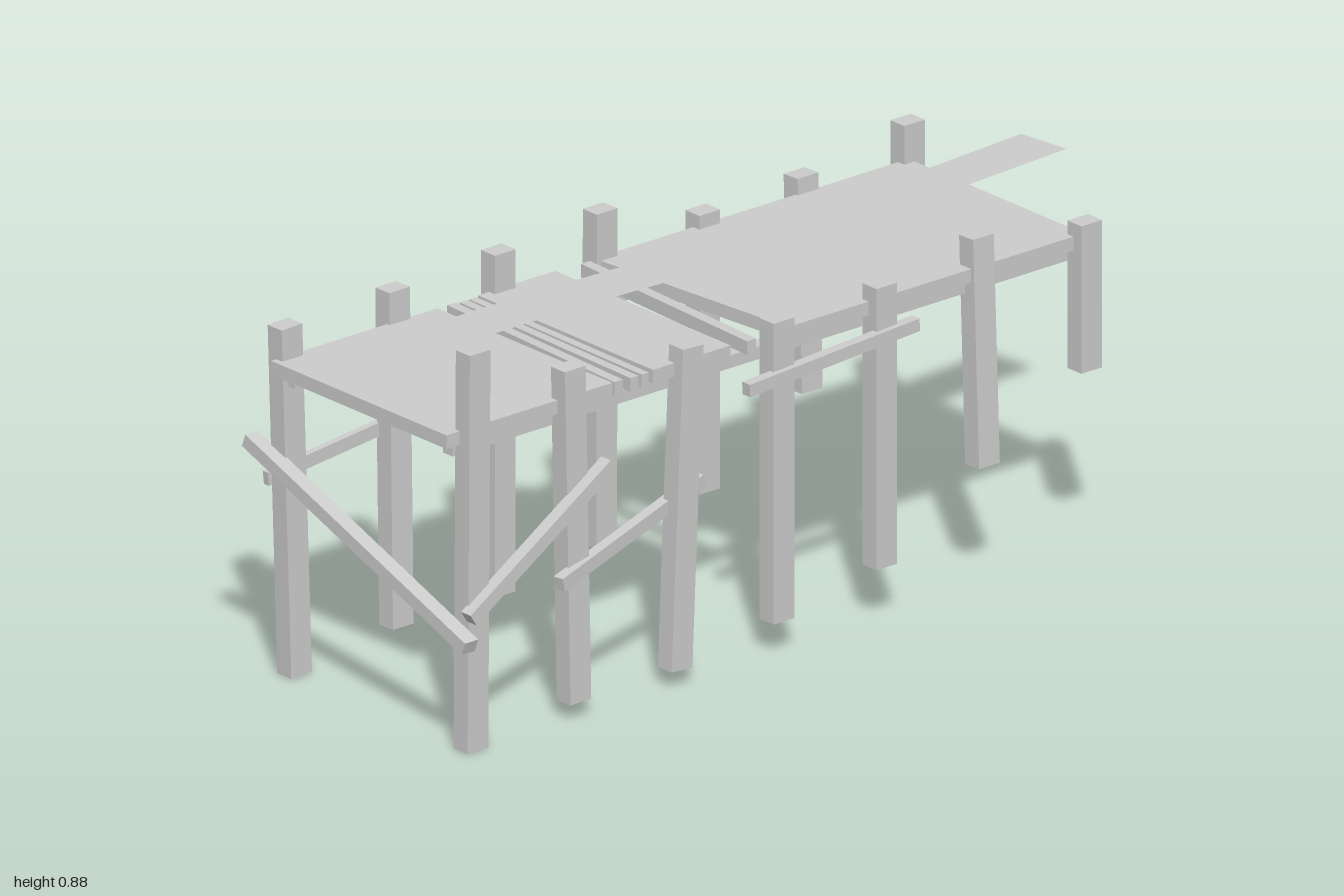
import * as THREE from 'three';

const AXES = [new THREE.Vector3(1, 0, 0), new THREE.Vector3(0, 1, 0), new THREE.Vector3(0, 0, 1)];

export function createModel() {
  const group = new THREE.Group();
  const wood = new THREE.MeshStandardMaterial({ color: 0xcccccc, flatShading: true });
  const thin = new THREE.MeshStandardMaterial({ color: 0xcccccc, flatShading: true, side: THREE.DoubleSide });

  const add = (name, geometry, material = wood) => {
    const mesh = new THREE.Mesh(geometry, material);
    mesh.name = name;
    group.add(mesh);
    return mesh;
  };

  // Square timber from a to b, running mainly along one axis (0 x, 1 y, 2 z)
  const timber = (name, axis, a, b, size) => {
    const start = new THREE.Vector3(...a), end = new THREE.Vector3(...b);
    const dims = [...size];
    dims[axis] = start.distanceTo(end);
    const mesh = add(name, new THREE.BoxGeometry(...dims));
    mesh.position.copy(start).add(end).multiplyScalar(0.5);
    mesh.quaternion.setFromUnitVectors(AXES[axis], end.sub(start).normalize());
  };

  // Deck piece with independently placed ends at the back and front
  const board = (name, back0, back1, front0, front1, zBack = -0.27, zFront = 0.28) => {
    const shape = new THREE.Shape([[front0, -zFront], [front1, -zFront], [back1, -zBack], [back0, -zBack]]
      .map(([x, y]) => new THREE.Vector2(x, y)));
    const geometry = new THREE.ExtrudeGeometry(shape, { depth: 0.03, bevelEnabled: false });
    geometry.rotateX(-Math.PI / 2).translate(0, 0.675, 0);
    add(name, geometry);
  };

  // Posts: foot heights follow the sloping bed; each row is [topX, topY, topZ, footX, footZ]
  const feet = [0, 0.036, 0.036, 0.072, 0.12, 0.27, 0.41];
  const rows = {
    frontPost: [
      [-0.926, 0.88, 0.29, -0.926, 0.283], [-0.663, 0.775, 0.284, -0.647, 0.283],
      [-0.342, 0.74, 0.283, -0.373, 0.283], [-0.097, 0.735, 0.283, -0.097, 0.283],
      [0.182, 0.74, 0.283, 0.182, 0.283], [0.46, 0.77, 0.264, 0.46, 0.283],
      [0.737, 0.735, 0.283, 0.737, 0.283],
    ],
    backPost: [
      [-0.95, 0.775, -0.273, -0.924, -0.273], [-0.648, 0.775, -0.285, -0.648, -0.273],
      [-0.372, 0.79, -0.273, -0.372, -0.273], [-0.097, 0.81, -0.272, -0.097, -0.273],
      [0.182, 0.735, -0.273, 0.182, -0.273], [0.46, 0.74, -0.287, 0.46, -0.273],
      [0.737, 0.79, -0.273, 0.737, -0.273],
    ],
  };
  for (const [name, posts] of Object.entries(rows)) {
    posts.forEach(([x, y, z, fx, fz], i) =>
      timber(name, 1, [fx, feet[i], fz], [x, y, z], [0.056, 1, 0.044]));
  }

  // Stringers under the deck
  timber('frontStringer', 0, [-0.96, 0.66, 0.25], [0.795, 0.66, 0.245], [1, 0.028, 0.03]);
  timber('backStringer', 0, [-0.96, 0.66, -0.245], [0.77, 0.66, -0.245], [1, 0.028, 0.03]);

  // Deck sections and the loose slats in the gaps
  board('deckLeft', -0.99, -0.54, -0.99, -0.54);
  board('deckMiddle', -0.43, -0.22, -0.43, -0.22);
  board('deckRight', -0.115, 0.737, -0.065, 0.737);
  board('slat', -0.513, -0.49, -0.535, -0.512);
  board('slat', -0.484, -0.463, -0.495, -0.474, -0.265, 0.285);
  board('slat', -0.458, -0.439, -0.465, -0.446, -0.265, 0.285);
  board('slat', -0.155, -0.13, -0.18, -0.155, -0.265, 0.285);

  // Thin walkway strip that drifts sideways along the deck
  const strip = new THREE.PlaneGeometry(1, 0.124, 12, 1).rotateX(-Math.PI / 2);
  const path = new THREE.CatmullRomCurve3([
    [-0.955, 0.715, -0.126], [-0.4, 0.715, -0.128], [0, 0.715, -0.112],
    [0.27, 0.715, -0.104], [0.6, 0.716, -0.114], [0.99, 0.718, -0.138],
  ].map((p) => new THREE.Vector3(...p)));
  const pos = strip.attributes.position;
  for (let i = 0; i < pos.count; i++) {
    const t = pos.getX(i) + 0.5, side = pos.getZ(i);
    const p = path.getPointAt(Math.min(1, Math.max(0, t)));
    pos.setXYZ(i, p.x + (t > 0.99 ? side * 0.12 : 0), p.y, p.z + side);
  }
  strip.computeVertexNormals();
  add('walkwayStrip', strip, thin);

  // Braces nailed to the outside of the posts
  const slim = [1, 0.03, 0.016], thick = [1, 0.03, 0.03];
  timber('frontBrace', 0, [-0.962, 0.305, 0.318], [-0.582, 0.55, 0.318], thick);
  timber('frontBrace', 0, [-0.717, 0.318, 0.318], [-0.273, 0.412, 0.245], [1, 0.03, 0.025]);
  timber('frontRail', 0, [-0.2, 0.61, 0.306], [0.26, 0.638, 0.306], [1, 0.028, 0.024]);
  timber('backRail', 0, [-0.482, 0.567, -0.305], [0.242, 0.605, -0.305], [1, 0.028, 0.024]);
  timber('backRail', 0, [-0.975, 0.432, -0.304], [-0.275, 0.508, -0.304], slim);
  timber('sideBrace', 2, [-0.982, 0.51, -0.345], [-0.982, 0.255, 0.345], [0.036, 0.03, 1]);

  return group;
}
